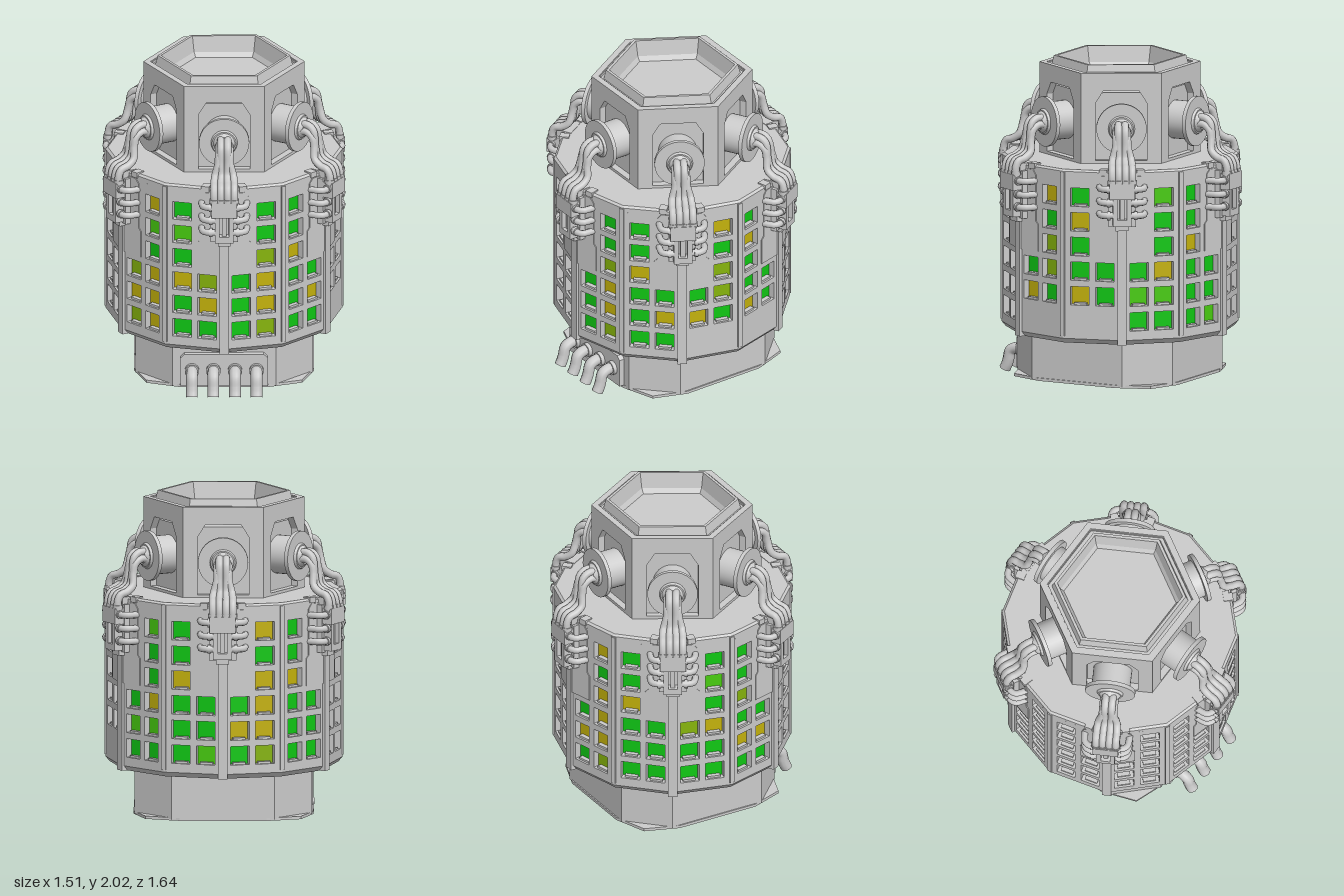
import * as THREE from 'three';

const flat = new THREE.MeshStandardMaterial({ color: 0xcccccc, flatShading: true });
const smooth = new THREE.MeshStandardMaterial({ color: 0xcccccc });
const glass = {};
for (const [k, color] of Object.entries({ G: 0x10c814, L: 0x48cc10, O: 0x86b40c, Y: 0xc4b20c }))
  glass[k] = new THREE.MeshStandardMaterial({ color });

// Window colours for the twelve faces, top to bottom: [tall column, short column]
const WINDOWS = [
  ['GGOYYO', 'GGG'], ['GGYGGG', 'GYG'], ['YGOOG-', 'GY-'], ['GYGGY-', 'GG-'],
  ['LGGYLG', 'GLG'], ['GGYGGG', 'GGL'], ['YGYYYO', 'GYG'], ['GGYGGG', 'GGG'],
  ['GLGYGG', 'OGG'], ['GGOGYG', 'GYG'], ['YLGYYY', 'OYO'], ['GLGYGG', 'OYG'],
];
const APOTHEM = 0.71, HALF = 0.19;

function add(parent, name, geometry, x = 0, y = 0, z = 0, material = flat) {
  const mesh = new THREE.Mesh(geometry, material);
  mesh.name = name;
  mesh.position.set(x, y, z);
  parent.add(mesh);
  return mesh;
}
const box = (w, h, d) => new THREE.BoxGeometry(w, h, d);
const v2 = ([x, y]) => new THREE.Vector2(x, y);

function sector(parent, name, degrees) {
  const g = new THREE.Group();
  g.name = name;
  g.rotation.y = THREE.MathUtils.degToRad(degrees);
  parent.add(g);
  return g;
}

function lathe(parent, name, points, sides, turn = 0) {
  const m = add(parent, name, new THREE.LatheGeometry(points.map(v2), sides));
  m.rotation.y = turn;
  return m;
}

function extrude(points, holes, depth) {
  const shape = new THREE.Shape(points.map(v2));
  for (const h of holes) shape.holes.push(new THREE.Path(h.map(v2)));
  return new THREE.ExtrudeGeometry(shape, { depth, bevelEnabled: false });
}
const rect = (x0, x1, y0, y1) => [[x0, y0], [x1, y0], [x1, y1], [x0, y1]];

function tube(parent, name, points, r, segments = 24, sides = 10) {
  const curve = new THREE.CatmullRomCurve3(points.map(p => new THREE.Vector3(...p)), false, 'centripetal');
  return add(parent, name, new THREE.TubeGeometry(curve, segments, r, sides), 0, 0, 0, smooth);
}

// A horizontal slab from an outline in x and z
function slab(parent, name, outline, y, height) {
  const m = add(parent, name, extrude(outline, [], height), 0, y, 0);
  m.rotation.x = -Math.PI / 2;
}
// Repeats one quadrant of an outline four times
function quarterTurns(points) {
  const all = [];
  for (let q = 0; q < 4; q++) {
    const c = [1, 0, -1, 0][q], s = [0, 1, 0, -1][q];
    for (const [x, y] of points) all.push([x * c - y * s, x * s + y * c]);
  }
  return all;
}

function buildBase(root) {
  slab(root, 'footPlate', quarterTurns([[0.558, 0.27], [0.482, 0.482], [0.27, 0.558]]), 0.012, 0.018);
  slab(root, 'base', quarterTurns([[0.55, 0.32], [0.32, 0.55]]), 0.02, 0.3);
  // Outlet plate and four bent pipes at the front
  const plate = [[-0.27, 0.03], [0.27, 0.03], [0.27, 0.215], [0.245, 0.24], [-0.245, 0.24], [-0.27, 0.215]];
  add(root, 'outletPlate', extrude(plate, [], 0.04), 0, 0, 0.545);
  for (const x of [-0.2, -0.067, 0.067, 0.2]) {
    tube(root, 'outletPipe', [[x, 0.135, 0.57], [x, 0.135, 0.63], [x, 0.115, 0.665], [x, 0.06, 0.68], [x, 0.03, 0.69], [x, 0, 0.705]], 0.036);
    const cap = add(root, 'outletEnd', new THREE.CircleGeometry(0.035, 12), x, 0.001, 0.705, smooth);
    cap.rotation.x = Math.PI / 2;
    const collar = add(root, 'outletCollar', new THREE.CylinderGeometry(0.045, 0.045, 0.03, 14), x, 0.135, 0.595, smooth);
    collar.rotation.x = Math.PI / 2;
  }
}

function buildWall(root, i) {
  const wall = sector(root, 'wallFace', 15 + 30 * i);
  const side = i % 2 ? 1 : -1; // side on which the cable box sits
  const holes = [];
  WINDOWS[i].forEach((colours, column) => {
    const x = (column ? side : -side) * 0.08;
    [...colours].forEach((c, row) => {
      if (c === '-') return;
      const y = 0.445 + 0.155 * (colours.length - 1 - row);
      holes.push(rect(x - 0.06, x + 0.06, y - 0.058, y + 0.058));
      add(wall, 'windowPane', box(0.118, 0.115, 0.012), x, y, 0.662, glass[c]);
      add(wall, 'windowSill', box(0.08, 0.014, 0.03), x, y - 0.052, 0.682);
    });
  });
  add(wall, 'windowWall', extrude(rect(-HALF, HALF, 0.35, 1.35), holes, 0.05), 0, 0, APOTHEM - 0.05);
  // Cover plate beside the cable box
  const cover = [[0.03, 1.36], [0.03, 0.85], [0.185, 0.85], [0.185, 1.02], [0.165, 1.04], [0.165, 1.33], [0.14, 1.36]];
  const pts = cover.map(([x, y]) => [side * (0.2 - x), y]);
  add(wall, 'coverPlate', extrude(pts, [], 0.008), 0, 0, APOTHEM - 0.002);
  add(wall, 'topClip', box(0.05, 0.035, 0.06), side * 0.07, 1.383, APOTHEM - 0.022);
}

function buildCableBox(root, degrees) {
  const g = sector(root, 'cableBox', degrees);
  add(g, 'backPlate', box(0.17, 0.3, 0.06), 0, 1.2, 0.725);
  add(g, 'topBlock', box(0.16, 0.1, 0.1), 0, 1.28, 0.77);
  const housing = extrude(rect(-0.058, 0.058, 1.06, 1.25), [rect(-0.028, 0.028, 1.1, 1.235)], 0.07);
  add(g, 'housing', housing, 0, 0, 0.74);
  add(g, 'housingFoot', box(0.08, 0.05, 0.05), 0, 1.05, 0.745);
  add(g, 'slotBar', box(0.03, 0.13, 0.05), 0, 1.165, 0.765);
  add(g, 'topTab', box(0.13, 0.05, 0.1), 0, 1.37, 0.71);
  // Looped hoses on both sides
  for (const s of [-1, 1]) for (const y of [1.29, 1.205, 1.125]) {
    tube(g, 'sideHose', [[s * 0.045, y, 0.785], [s * 0.1, y, 0.785], [s * 0.13, y, 0.765], [s * 0.138, y, 0.73], [s * 0.138, y, 0.66]], 0.021, 14, 8);
    const collar = add(g, 'hoseCollar', new THREE.CylinderGeometry(0.028, 0.028, 0.022, 10), s * 0.083, y, 0.785, smooth);
    collar.rotation.z = Math.PI / 2;
  }
  // Four cables from the drum down into the box
  [-0.062, -0.021, 0.021, 0.062].forEach((x, k) => {
    const inner = k === 1 || k === 2, x0 = x * (inner ? 1 : 0.55), dy = inner ? 0.025 : -0.015;
    tube(g, 'cable', [[x0, 1.63 + dy, 0.55], [x0, 1.635 + dy, 0.61], [x0, 1.605 + dy, 0.65], [x0 * 1.1, 1.53, 0.665],
      [x * 0.9, 1.46, 0.68], [x, 1.425, 0.725], [x, 1.41, 0.77], [x, 1.37, 0.79], [x, 1.3, 0.79]], 0.024, 32);
    add(g, 'cableSocket', new THREE.CylinderGeometry(0.03, 0.03, 0.025, 10), x, 1.335, 0.79, smooth);
  });
}

function buildDrum(root, degrees) {
  const g = sector(root, 'drum', degrees);
  const parts = [['drumBody', 0.12, 0.12, 0.38, 0.53], ['drumFlange', 0.156, 0.156, 0.525, 0.55],
    ['drumBoss', 0.075, 0.085, 0.545, 0.565], ['drumNozzle', 0.05, 0.07, 0.56, 0.59]];
  for (const [name, front, back, z0, z1] of parts) {
    const geometry = new THREE.CylinderGeometry(front, back, z1 - z0, 32);
    add(g, name, geometry, 0, 1.63, (z0 + z1) / 2, smooth).rotation.x = Math.PI / 2;
  }
}

function buildTower(root) {
  const turn = Math.PI / 6;
  add(root, 'towerCore', new THREE.CylinderGeometry(0.45, 0.45, 0.46, 6), 0, 1.6, 0).rotation.y = turn;
  lathe(root, 'towerRim', [[0.44, 1.85], [0.5, 1.85], [0.5, 1.96], [0.455, 1.96], [0.45, 1.94], [0.425, 1.94],
    [0.41, 2], [0.39, 2], [0.37, 1.9], [0.35, 1.87], [0, 1.87]], 6, turn);
  // Framed faces with an arched recess, each carrying a drum
  const arch = [[-0.16, 1.41], [0.16, 1.41], [0.16, 1.77], [0.095, 1.875], [-0.095, 1.875], [-0.16, 1.77]];
  for (let a = 0; a < 360; a += 60) {
    const face = sector(root, 'towerFace', a);
    add(face, 'towerFrame', extrude(rect(-0.25, 0.25, 1.38, 1.955), [arch], 0.045), 0, 0, 0.388);
    buildDrum(root, a);
    buildCableBox(root, a);
  }
}

export function createModel() {
  const root = new THREE.Group();
  root.name = 'windowedReactor';
  buildBase(root);

  // Twelve-sided drum with lip, core and roof
  lathe(root, 'lowerLip', [[0, 0.3], [0.71, 0.3], [0.735, 0.33], [0.735, 0.355], [0.66, 0.355]], 12);
  add(root, 'bodyCore', new THREE.CylinderGeometry(0.68, 0.68, 1.04, 12), 0, 0.85, 0);
  lathe(root, 'roof', [[0.66, 1.345], [0.735, 1.345], [0.735, 1.38], [0.72, 1.392], [0, 1.392]], 12);

  for (let i = 0; i < 12; i++) {
    buildWall(root, i);
    const post = sector(root, 'cornerPost', 30 * i);
    if (i % 2) add(post, 'thinPost', box(0.03, 1.03, 0.03), 0, 0.86, 0.725);
    else add(post, 'widePost', box(0.058, 0.8, 0.04), 0, 0.7, 0.723);
  }
  buildTower(root);
  return root;
}
